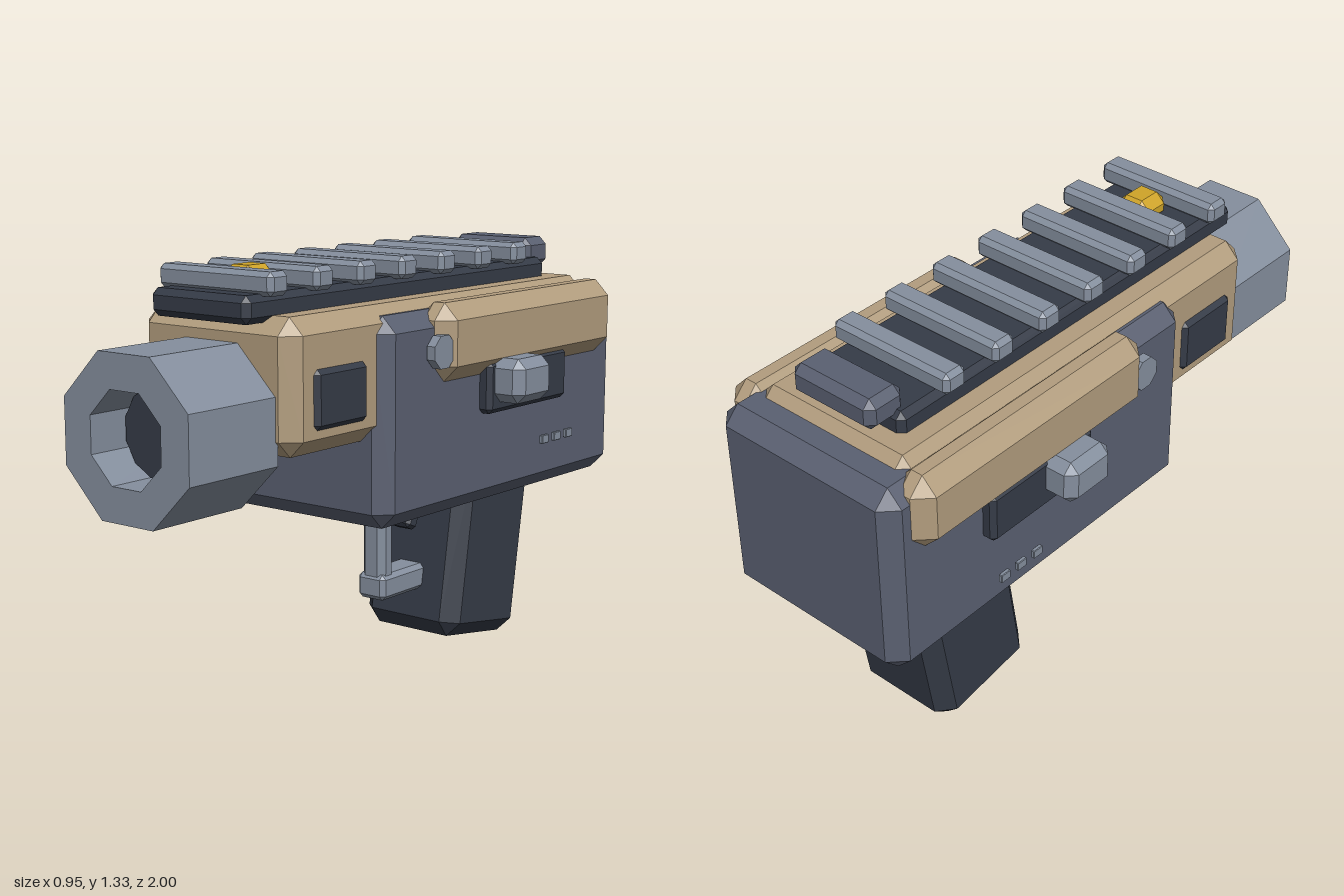
import * as THREE from 'three';
import { ConvexGeometry } from 'three/addons/geometries/ConvexGeometry.js';

const paint = (name, color) => {
  const m = new THREE.MeshStandardMaterial({ color });
  m.name = name;
  return m;
};

export function createModel() {
  const group = new THREE.Group();
  group.name = 'blaster';

  const slate = paint('slate', 0x5a6071);
  const charcoal = paint('charcoal', 0x353b47);
  const steel = paint('steel', 0x858f9e);
  const tan = paint('tan', 0xb29d7e);
  const yellow = paint('yellow', 0xcfa428);

  const add = (name, geometry, material) => {
    const mesh = new THREE.Mesh(geometry, material);
    mesh.name = name;
    group.add(mesh);
    return mesh;
  };

  // Box with all edges cut at 45 degrees
  const chamferBox = (w, h, d, c) => {
    const points = [];
    for (const sx of [-1, 1]) for (const sy of [-1, 1]) for (const sz of [-1, 1]) {
      const [x, y, z] = [w / 2, h / 2, d / 2];
      points.push(
        new THREE.Vector3(sx * x, sy * (y - c), sz * (z - c)),
        new THREE.Vector3(sx * (x - c), sy * y, sz * (z - c)),
        new THREE.Vector3(sx * (x - c), sy * (y - c), sz * z));
    }
    return new ConvexGeometry(points);
  };

  // Chamfered box given by its limits on each axis
  const block = (name, material, [x0, x1], [y0, y1], [z0, z1], c) => {
    const mesh = add(name, chamferBox(x1 - x0, y1 - y0, z1 - z0, c), material);
    mesh.position.set((x0 + x1) / 2, (y0 + y1) / 2, (z0 + z1) / 2);
    return mesh;
  };

  // The same block on both sides
  const pair = (name, material, [x0, x1], y, z, c) => {
    block(name + 'Left', material, [x0, x1], y, z, c);
    block(name + 'Right', material, [-x1, -x0], y, z, c);
  };

  // Prism with flat sides
  const prism = (radius, length, sides) => {
    const g = new THREE.CylinderGeometry(radius, radius, length, sides).toNonIndexed();
    g.computeVertexNormals();
    return g;
  };

  // Housing
  block('lowerBody', slate, [-0.34, 0.34], [0.54, 1.18], [-1, 0.28], 0.05);
  block('upperBody', tan, [-0.3, 0.3], [0.81, 1.21], [-0.9, 0.65], 0.05);
  pair('sidePanel', tan, [0.25, 0.39], [0.96, 1.2], [-0.92, 0.04], 0.05);
  pair('frontWindow', charcoal, [0.27, 0.315], [0.885, 1.06], [0.32, 0.555], 0.015);

  // Side controls
  pair('sideSlot', charcoal, [0.3, 0.38], [0.835, 1.0], [-0.64, -0.2], 0.015);
  pair('sideKnob', steel, [0.34, 0.475], [0.87, 1.01], [-0.415, -0.225], 0.03);
  for (const z of [-0.48, -0.55, -0.62]) {
    pair('sideMark', steel, [0.394, 0.407], [0.707, 0.735], [z - 0.019, z + 0.019], 0.002);
  }
  for (const s of [-1, 1]) {
    const pin = add(s > 0 ? 'pivotPinLeft' : 'pivotPinRight', prism(0.054, 0.03, 8), steel);
    pin.rotation.set(Math.PI / 8, 0, Math.PI / 2, 'XYZ');
    pin.position.set(s * 0.365, 1.06, 0.04);
  }

  // Octagonal barrel with an octagonal bore
  const octagon = (target, apothem) => {
    const r = apothem / Math.cos(Math.PI / 8);
    const points = [];
    for (let i = 0; i < 8; i++) {
      const a = (i + 0.5) * Math.PI / 4;
      points.push(new THREE.Vector2(r * Math.cos(a), r * Math.sin(a)));
    }
    return target.setFromPoints(points);
  };
  const ring = octagon(new THREE.Shape(), 0.24);
  ring.holes.push(octagon(new THREE.Path(), 0.136));
  const barrel = add('barrel',
    new THREE.ExtrudeGeometry(ring, { depth: 0.36, bevelEnabled: false }), steel);
  barrel.position.set(0, 0.89, 0.64);

  const core = add('barrelCore', prism(0.135, 0.67, 12).rotateY(Math.PI / 12), charcoal);
  core.rotation.x = Math.PI / 2;
  core.position.set(0, 0.89, 0.535);

  // Top rail and sights
  block('railBase', charcoal, [-0.19, 0.19], [1.19, 1.272], [-0.79, 0.71], 0.02);
  for (let i = -3; i <= 3; i++) {
    block('railTooth', steel, [-0.22, 0.22], [1.265, 1.335],
      [i * 0.2 - 0.042, i * 0.2 + 0.042], 0.015);
  }
  block('rearSight', slate, [-0.155, 0.155], [1.235, 1.335], [-0.87, -0.73], 0.025);
  block('frontSight', yellow, [-0.06, 0.06], [1.25, 1.335], [0.42, 0.555], 0.03);

  // Raked grip and trigger
  const grip = add('grip', chamferBox(0.38, 0.7, 0.4, 0.05), charcoal);
  grip.position.set(0, 0.37, -0.516);
  grip.rotation.x = -0.16;

  const trigger = add('trigger', chamferBox(0.08, 0.22, 0.055, 0.012), charcoal);
  trigger.position.set(0, 0.51, -0.297);
  trigger.rotation.x = -0.4;

  // Trigger guard
  block('guardPost', steel, [-0.045, 0.045], [0.22, 0.6], [-0.157, -0.087], 0.02);
  block('guardBar', steel, [-0.055, 0.055], [0.2, 0.285], [-0.42, -0.08], 0.015);

  return group;
}
